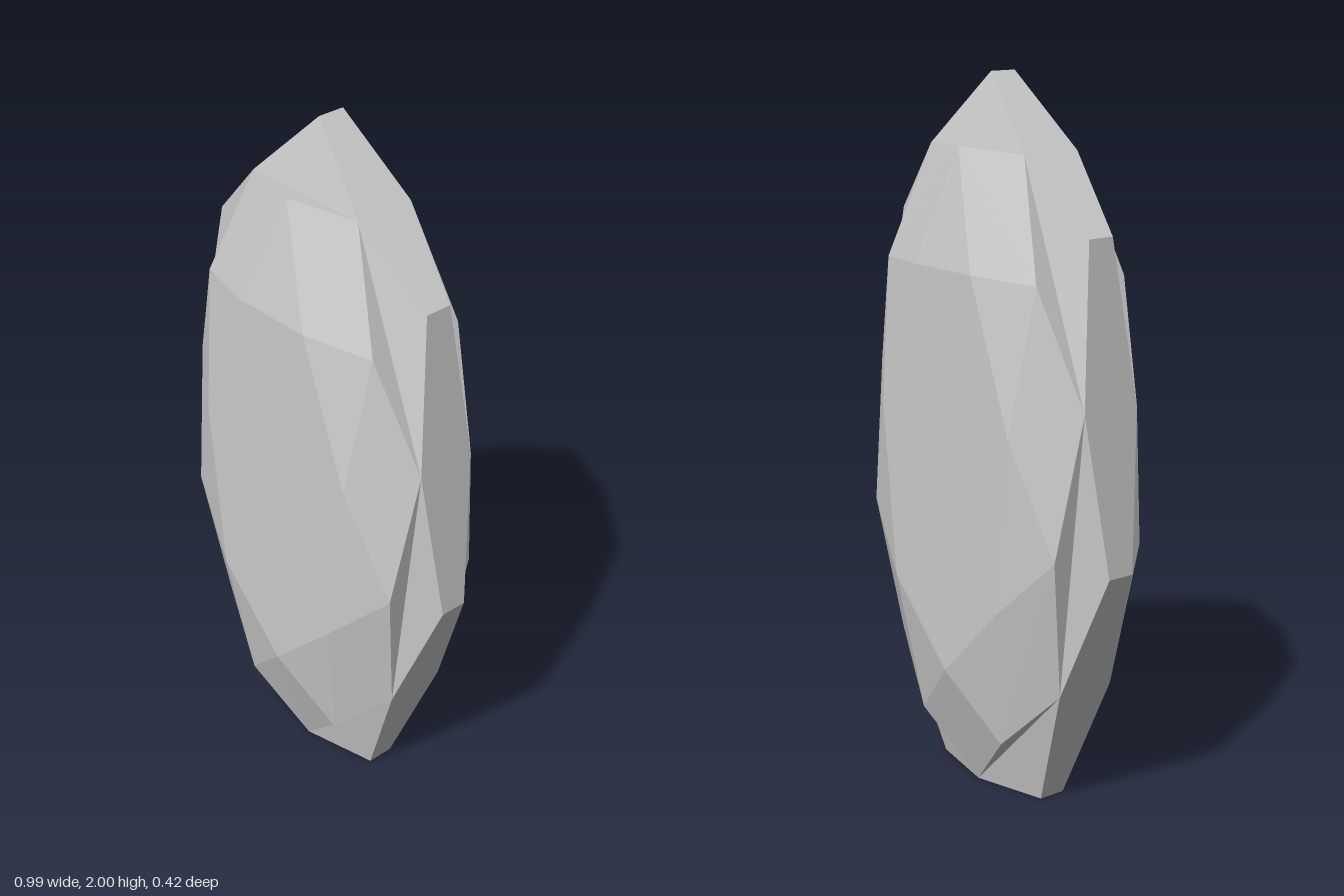
import * as THREE from 'three';

// Corners of the gem outline, counter-clockwise seen from the front
const OUTLINE = [[0, 2], [-0.4, 1.6], [-0.495, 0.715], [-0.22, 0], [0.22, 0], [0.495, 0.715], [0.4, 1.6]];
const N = OUTLINE.length;
// Depths of the rings, from girdle corners to the flat table
const Z = { corner: 0.04, mid: 0.09, main: 0.15, table: 0.208 };

const next = (i) => (i + 1) % N;
const prev = (i) => (i + N - 1) % N;
const halfway = (a, b) => [(a[0] + b[0]) / 2, (a[1] + b[1]) / 2];

function facetMesh(name, faces, material) {
  const pos = [];
  for (const f of faces)
    for (let k = 1; k < f.length - 1; k++) pos.push(...f[0], ...f[k], ...f[k + 1]);
  const geometry = new THREE.BufferGeometry();
  geometry.setAttribute('position', new THREE.Float32BufferAttribute(pos, 3));
  geometry.computeVertexNormals();
  const mesh = new THREE.Mesh(geometry, material);
  mesh.name = name;
  return mesh;
}

export function createModel() {
  const group = new THREE.Group();
  group.name = 'facetedGem';
  const material = new THREE.MeshStandardMaterial({ color: 0xcccccc, flatShading: true });

  // Each ring follows from the one outside it
  const mids = OUTLINE.map((c, i) => halfway(c, OUTLINE[next(i)]));
  const mains = mids.map((m, i) => halfway(mids[prev(i)], m));
  mains[0][1] += 0.01;
  const tops = mids.map((m, i) => [0, 1].map((k) => mains[i][k] + mains[next(i)][k] - m[k]));

  const ring = (points, z) => points.map(([x, y]) => [x, y, z]);
  const C = ring(OUTLINE, Z.corner), M = ring(mids, Z.mid);
  const A = ring(mains, Z.main), T = ring(tops, Z.table);
  const back = ([x, y, z]) => [x, y, -z];

  const bevels = [], steps = [], kites = [], stars = [], girdle = [];
  for (let i = 0; i < N; i++) {
    const p = prev(i), n = next(i);
    bevels.push([M[p], C[i], M[i]]);
    steps.push([M[p], M[i], A[i]]);
    kites.push([M[i], A[n], T[i], A[i]]);
    stars.push([A[i], T[i], T[p]]);
    girdle.push([back(C[i]), back(M[i]), back(C[n]), C[n], M[i], C[i]]);
  }

  // Rim facets around the edge
  group.add(facetMesh('girdle', girdle, material));

  // Matching facets on the front and back
  const parts = { CornerBevels: bevels, Steps: steps, Kites: kites, Stars: stars, Table: [T] };
  for (const [name, faces] of Object.entries(parts)) {
    group.add(facetMesh('front' + name, faces, material));
    group.add(facetMesh('back' + name, faces.map((f) => f.map(back).reverse()), material));
  }
  return group;
}
